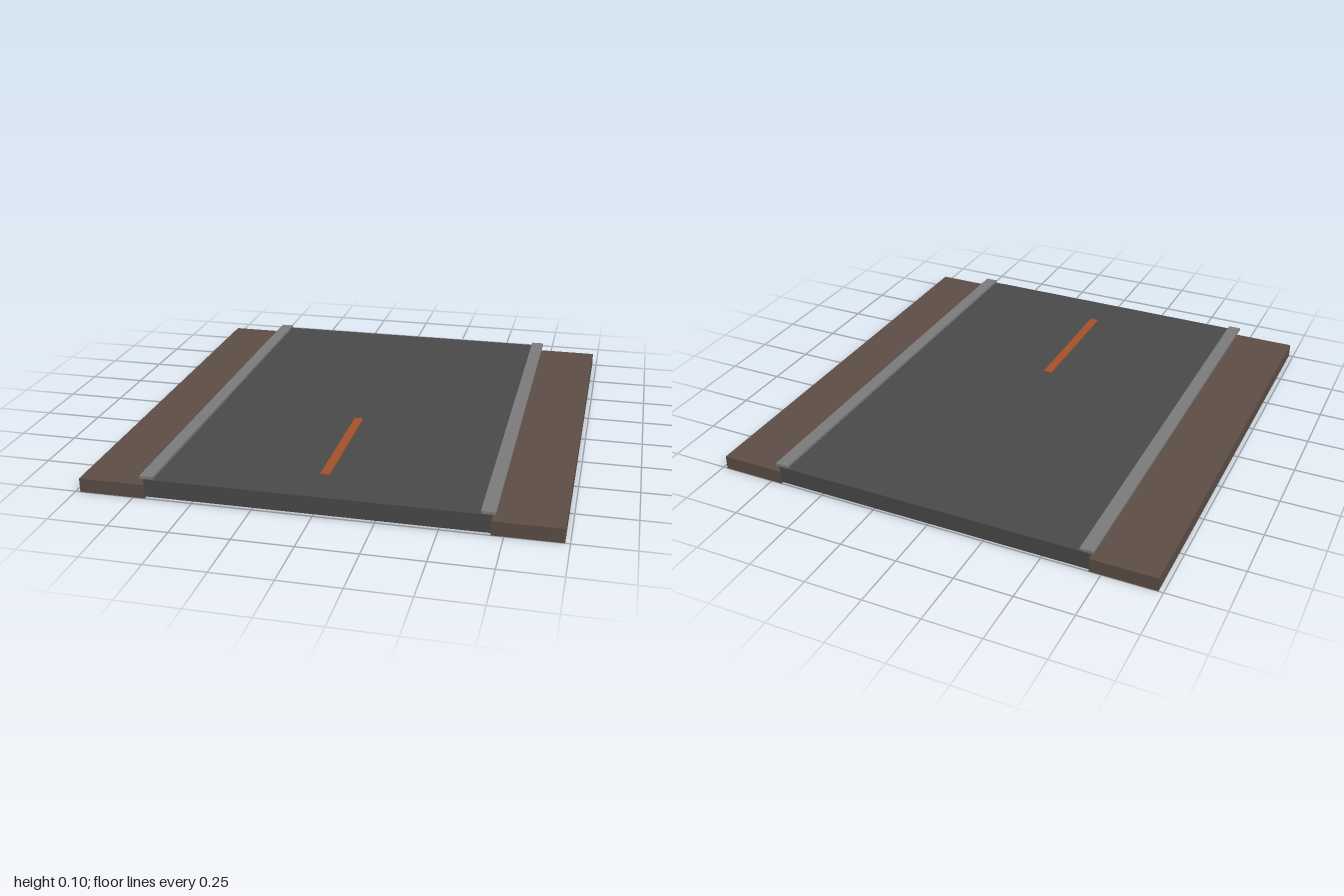
import * as THREE from 'three';

export function createModel() {
  const model = new THREE.Group();
  model.name = 'roadSegment';

  const material = (color) => new THREE.MeshStandardMaterial({ color });
  const asphalt = material(0x4a4a4a);
  const earth = material(0x5d4e46);
  const edging = material(0x7c7c7c);
  const paint = material(0xa5522a);

  // Box given by its lower and upper limits on each axis
  function slab(name, mat, [x0, x1], [y0, y1], [z0, z1]) {
    const mesh = new THREE.Mesh(new THREE.BoxGeometry(x1 - x0, y1 - y0, z1 - z0), mat);
    mesh.position.set((x0 + x1) / 2, (y0 + y1) / 2, (z0 + z1) / 2);
    mesh.name = name;
    model.add(mesh);
  }

  // Road deck, raised above the shoulders
  slab('roadDeck', asphalt, [-0.7, 0.7], [0.01, 0.086], [-1, 1]);

  // Shoulders and edge strips, mirrored on both sides
  for (const [side, s] of [['left', 1], ['right', -1]]) {
    const span = (a, b) => (s > 0 ? [a, b] : [-b, -a]);
    slab(`${side}Shoulder`, earth, span(0.7, 0.98), [0, 0.06], [-1, 1]);
    slab(`${side}EdgeStrip`, edging, span(0.66, 0.717), [0.088, 0.099], [-1, 1]);
  }

  // Single centre dash near the front
  slab('centreDash', paint, [-0.019, 0.019], [0.085, 0.092], [0.2, 0.8]);

  return model;
}
